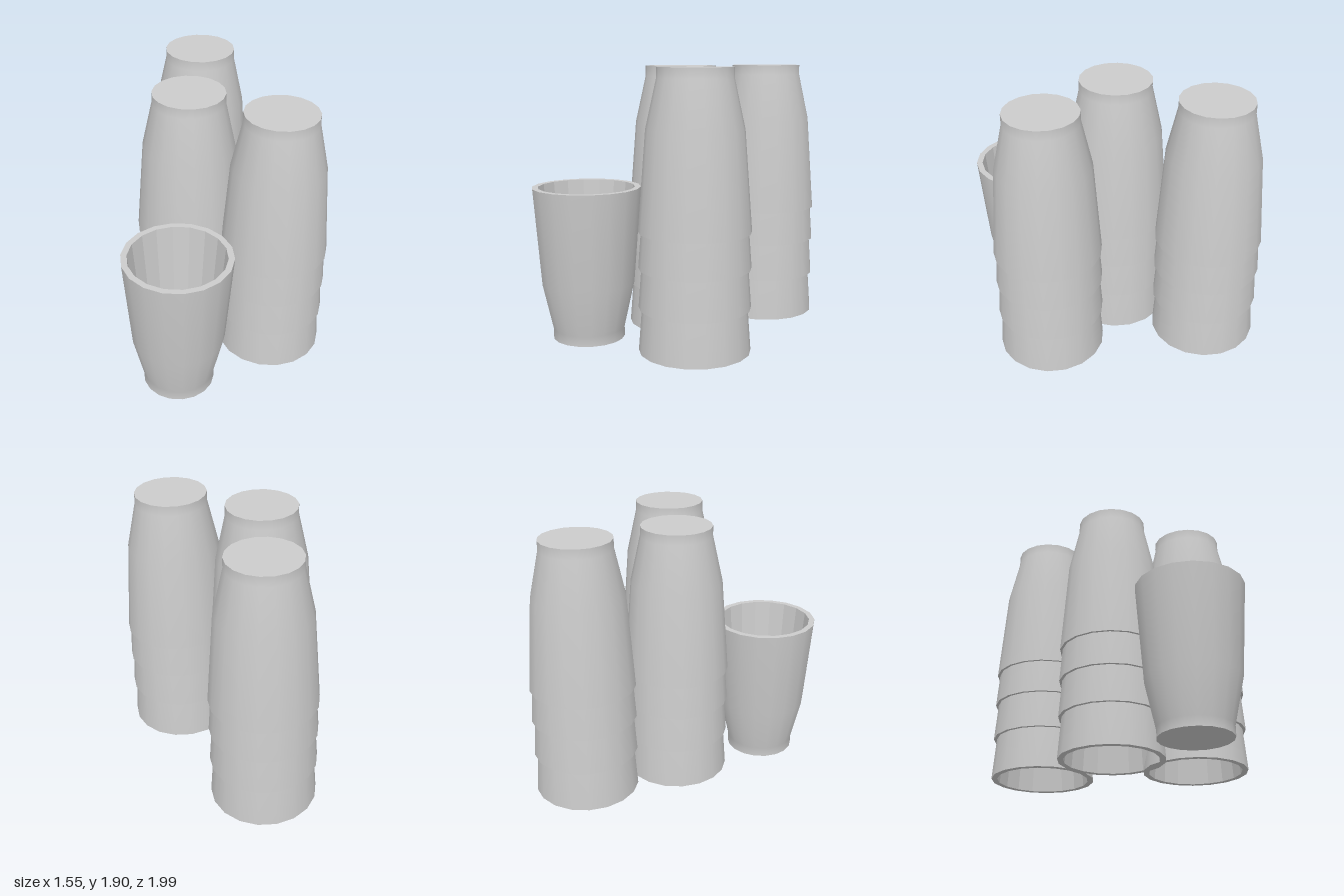
import * as THREE from 'three';

const SIDES = 18;
const HEIGHT = 1.075;

const smooth = new THREE.MeshStandardMaterial({ color: 0xcccccc });
const faceted = new THREE.MeshStandardMaterial({ color: 0xcccccc, flatShading: true });

// Each profile is turned on its own so the edges between them stay sharp
function turned(name, profile, material) {
  const points = profile.map(([r, y]) => new THREE.Vector2(r, y));
  const mesh = new THREE.Mesh(new THREE.LatheGeometry(points, SIDES), material);
  mesh.name = name;
  return mesh;
}

// An upright cup standing on y = 0
function createCup(name) {
  const cup = new THREE.Group();
  cup.name = name;
  cup.add(
    turned('base', [[0, 0], [0.253, 0]], faceted),
    turned('outerWall', [[0.253, 0], [0.253, 0.07], [0.326, 0.4], [0.378, HEIGHT]], smooth),
    turned('rim', [[0.378, HEIGHT], [0.336, HEIGHT]], faceted),
    turned('innerWall', [[0.336, HEIGHT], [0.25, 0.07]], faceted),
    turned('innerFloor', [[0.25, 0.07], [0, 0.07]], faceted)
  );
  return cup;
}

// Upside-down cups nested over one another
function createStack(name, x, z) {
  const stack = new THREE.Group();
  stack.name = name;
  [0.01, 0.31, 0.58, 0.825].forEach((rimY, i) => {
    const cup = createCup(`stackedCup${i + 1}`);
    cup.rotation.x = Math.PI;
    cup.position.y = rimY + HEIGHT;
    stack.add(cup);
  });
  stack.position.set(x, 0, z);
  return stack;
}

export function createModel() {
  const model = new THREE.Group();
  model.name = 'cups';

  // Single upright cup at the front
  const uprightCup = createCup('uprightCup');
  uprightCup.position.set(-0.405, 0, 0.618);

  model.add(
    uprightCup,
    createStack('frontStack', 0.4, 0.52),
    createStack('middleStack', -0.01, -0.01),
    createStack('backStack', 0.385, -0.62)
  );
  return model;
}
